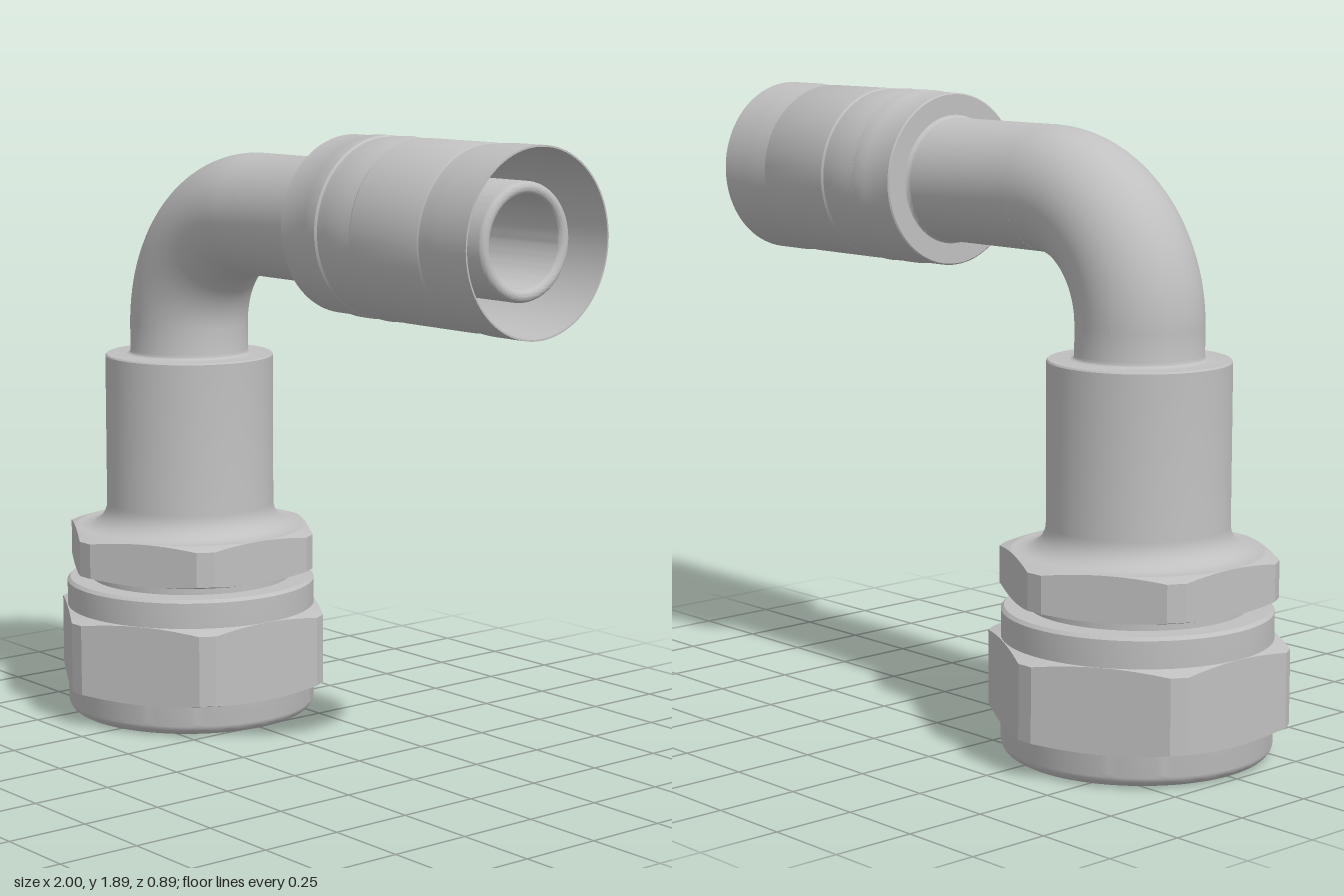
import * as THREE from 'three';
import { toCreasedNormals } from 'three/addons/utils/BufferGeometryUtils.js';

const steel = new THREE.MeshStandardMaterial({ color: 0xc0c0c0 });
steel.name = 'steel grey';

const PORT_X = -0.6;   // axis of the upright end
const HOSE_Y = 1.62;   // axis of the horizontal end
const PIPE_R = 0.187;
const BEND_R = 0.37;

function part(name, geometry, parent) {
  const mesh = new THREE.Mesh(geometry, steel);
  mesh.name = name;
  parent.add(mesh);
  return mesh;
}

// Turned part: [radius, height] pairs, outside upward and inside downward
function turned(profile) {
  const pts = profile.map(([r, h]) => new THREE.Vector2(r, h));
  return toCreasedNormals(new THREE.LatheGeometry(pts, 96), 0.5);
}

// Quarter-round points, from angle a to angle b about (r, h)
function round(r, h, rx, ry, a, b, n = 8) {
  return Array.from({ length: n + 1 }, (_, i) => {
    const t = a + (b - a) * i / n;
    return [r + rx * Math.cos(t), h + ry * Math.sin(t)];
  });
}

// Hexagon with trimmed corners and conical chamfers above and below
function hexNut(apothem, corner, y0, y1, inner, slope) {
  const full = apothem / Math.cos(Math.PI / 6);
  const half = (full - corner) * Math.sqrt(3);
  const corners = [];
  for (let i = 0; i < 6; i++) {
    const t = i * Math.PI / 3;
    for (const s of [-half, half]) {
      corners.push([corner * Math.sin(t) + s * Math.cos(t), corner * Math.cos(t) - s * Math.sin(t)]);
    }
  }
  const outline = [];
  corners.forEach((p, i) => {
    const q = corners[(i + 1) % 12];
    const n = i % 2 ? 14 : 2;
    for (let k = 0; k < n; k++) {
      outline.push([p[0] + (q[0] - p[0]) * k / n, p[1] + (q[1] - p[1]) * k / n]);
    }
  });
  const pos = [], index = [];
  for (const [x, z] of outline) {
    const r = Math.hypot(x, z);
    const drop = (r - apothem) * slope;
    const rings = [[inner, y0], [apothem - 0.002, y0], [r, y0 + drop], [r, y1 - drop], [apothem - 0.002, y1], [inner, y1]];
    for (const [rad, y] of rings) pos.push(x / r * rad, y, z / r * rad);
  }
  const count = outline.length;
  for (let i = 0; i < count; i++) {
    const a = i * 6, b = ((i + 1) % count) * 6;
    for (let k = 0; k < 5; k++) {
      index.push(a + k, b + k, b + k + 1, a + k, b + k + 1, a + k + 1);
    }
  }
  const geo = new THREE.BufferGeometry();
  geo.setAttribute('position', new THREE.Float32BufferAttribute(pos, 3));
  geo.setIndex(index);
  geo.computeVertexNormals();
  return toCreasedNormals(geo, 0.2);
}

export function createModel() {
  const model = new THREE.Group();
  model.name = 'elbowHoseFitting';

  // Upright end: swivel nut, body hexagon and collar
  const port = new THREE.Group();
  port.name = 'swivelEnd';
  port.position.x = PORT_X;
  model.add(port);

  part('swivelNutShell', turned([
    [0.245, 0.5], [0.245, 0.13], [0.275, 0.12], [0.275, 0.09], [0.262, 0.08], [0.262, 0.012], [0.272, 0],
    ...round(0.357, 0.04, 0.04, 0.04, -Math.PI / 2, 0),
    [0.397, 0.425], [0.388, 0.435], [0.3, 0.435],
  ]), port);
  part('swivelNutHexagon', hexNut(0.4, 0.447, 0.095, 0.345, 0.35, 0.3), port);
  part('boreFloor', turned([[0.245, 0.5], [0, 0.5]]), port);
  part('neck', turned([[0.3, 0.42], [0.32, 0.42], [0.32, 0.47], [0.3, 0.47]]), port);
  part('bodyHexagon', hexNut(0.37, 0.411, 0.465, 0.6, 0.26, 0.3), port);
  part('bodyCollar', turned([
    ...round(0.345, 0.675, 0.078, 0.075, Math.PI * 1.5, Math.PI),
    [0.267, 1.15], [0.263, 1.155], [0.2, 1.155],
    ...round(0.2, 1.168, 0.013, 0.013, Math.PI * 1.5, Math.PI, 4),
    [PIPE_R, HOSE_Y - BEND_R],
  ]), port);

  // Ninety degree bend
  const bend = part('pipeBend', new THREE.TorusGeometry(BEND_R, PIPE_R, 64, 48, Math.PI / 2), model);
  bend.rotation.z = Math.PI / 2;
  bend.position.set(PORT_X + BEND_R, HOSE_Y - BEND_R, 0);

  // Horizontal end: profile heights run along x
  const hose = new THREE.Group();
  hose.name = 'hoseEnd';
  hose.position.y = HOSE_Y;
  hose.rotation.z = -Math.PI / 2;
  model.add(hose);

  part('straightPipe', turned([
    [PIPE_R, PORT_X + BEND_R], [PIPE_R, 0.185],
    ...round(0.205, 0.185, 0.018, 0.018, Math.PI, Math.PI / 2, 4),
  ]), hose);
  part('crimpSleeve', turned([
    [0.18, 0.2], [0.258, 0.2], [0.262, 0.204], [0.262, 0.305], [0.266, 0.315], [0.266, 0.36],
    [0.261, 0.367], [0.264, 0.395], [0.267, 0.44], [0.264, 0.485], [0.261, 0.51],
    [0.265, 0.517], [0.265, 0.795], [0.261, 0.803], [0.264, 0.84], [0.267, 0.88], [0.267, 1],
    [0.262, 1], [0.245, 0.4], [0.15, 0.4],
  ]), hose);
  part('hoseNipple', turned([
    [0.167, 0.4],
    ...round(0.1485, 0.935, 0.0185, 0.0185, 0, Math.PI, 12),
    [0.13, 0.4], [0, 0.32],
  ]), hose);

  return model;
}
